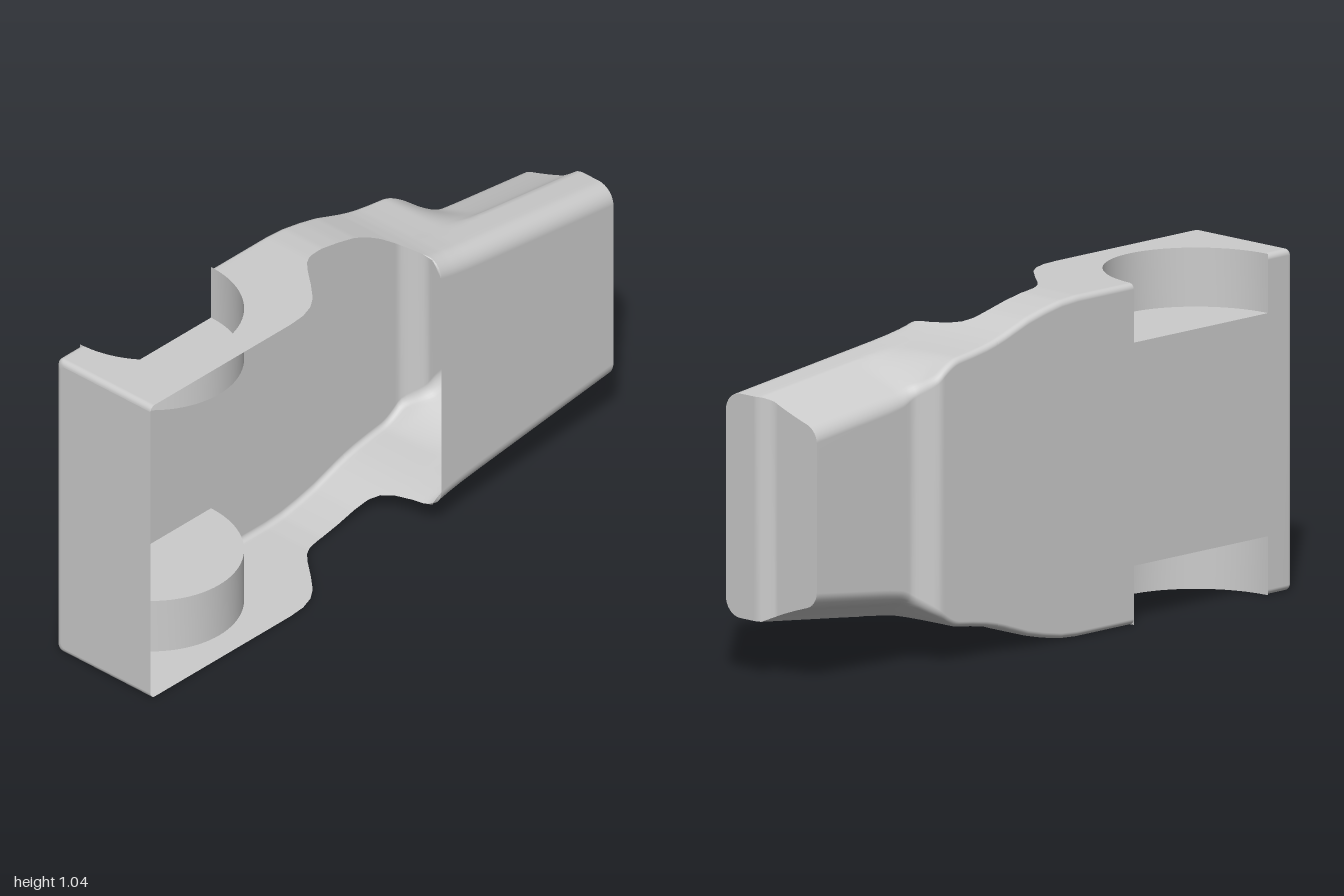
import * as THREE from 'three';

const MID = 0.522, FLOOR = -0.2, ROOF = 0.2;
const WELL = { x: -0.61, rx: 0.285, rz: 0.3, inner: 0.34 };
const smooth = (a, b, v) => THREE.MathUtils.smoothstep(v, a, b);

// Piecewise-linear lookup in a short list of [x, value] pairs
function lookup(table, x) {
  if (x <= table[0][0]) return table[0][1];
  for (let i = 1; i < table.length; i++) {
    const [x0, v0] = table[i - 1], [x1, v1] = table[i];
    if (x <= x1) return v0 + (v1 - v0) * (x - x0) / (x1 - x0);
  }
  return table[table.length - 1][1];
}

// Half width of the body along its length
const WIDTH = [[-0.09, 0.52], [-0.02, 0.515], [0.05, 0.502], [0.12, 0.485], [0.18, 0.464], [0.22, 0.45],
  [0.26, 0.438], [0.3, 0.429], [0.36, 0.419], [0.42, 0.411], [1, 0.342]];
// Upper edge of the side walls, dipping at the door
const EDGE = [[-0.39, 0.185], [-0.33, 0.18], [-0.28, 0.163], [-0.24, 0.135], [-0.19, 0.08], [-0.14, 0.02], [-0.11, -0.01],
  [-0.08, -0.026], [-0.03, -0.032], [0.12, -0.032], [0.17, -0.022], [0.2, 0], [0.22, 0.04], [0.235, 0.1], [0.245, 0.17], [0.25, 0.2]];

const floorZ = x => FLOOR + 0.055 * smooth(0.5, 0.58, x);

// Half cross-section from the floor centre up the wall; closed sections continue to the roof centre
function halfSection(x, closed = false, inset = 0) {
  const z0 = floorZ(x) + inset, w = lookup(WIDTH, x) - inset;
  const r = 0.018 + 0.02 * smooth(0.4, 0.7, x), R = 0.06 * smooth(0, 0.2, x);
  const top = closed ? ROOF : lookup(EDGE, x);
  const pts = [];
  const tuck = 0.075 * smooth(0.42, 0.62, x);
  const add = (s, z) => {
    const t = THREE.MathUtils.clamp((0.055 - z) / 0.2, 0, 1);
    const back = 0.035 * smooth(0.03, 0.068, z) - 0.035; // lower nose is set back
    const px = x > 0.25 ? x + back * (x - 0.25) / 0.75 : x;
    pts.push([px, s - tuck * Math.pow(t, 0.8) * Math.min(1, s / 0.2), z]);
  };
  add(0, z0);
  for (let i = 0; i <= 6; i++) {
    const a = i / 6 * Math.PI / 2;
    add(w - r + r * Math.sin(a), z0 + r - r * Math.cos(a));
  }
  const wallTop = Math.min(top, ROOF - R);
  for (let i = 1; i <= 18; i++) add(w, z0 + r + (wallTop - z0 - r) * i / 18);
  if (R > 0 && top > ROOF - R) {
    const end = Math.asin(Math.min(1, (top - ROOF + R) / R));
    for (let i = 1; i <= 8; i++) add(w - R + R * Math.cos(end * i / 8), ROOF - R + R * Math.sin(end * i / 8));
  } else {
    for (let i = 1; i <= 8; i++) pts.push([...pts[pts.length - 1]]);
  }
  if (closed) add(0, ROOF);
  return pts;
}

// Mirror a half section [x, side, z] into one running from one side to the other
const mirrored = half => [...half.slice(1).reverse().map(([x, s, z]) => [x, -s, z]), ...half];

// Surface through rows of [x, side, z] points
function loft(rows) {
  const n = rows[0].length, pos = [], index = [];
  for (const row of rows) for (const [x, s, z] of row) pos.push(x, MID + s, z);
  for (let i = 0; i < rows.length - 1; i++) {
    for (let j = 0; j < n - 1; j++) {
      const a = i * n + j, b = a + n;
      index.push(a, a + 1, b, b, a + 1, b + 1);
    }
  }
  const g = new THREE.BufferGeometry();
  g.setAttribute('position', new THREE.Float32BufferAttribute(pos, 3));
  g.setIndex(index);
  g.computeVertexNormals();
  return g;
}

const range = (a, b, n) => Array.from({ length: n + 1 }, (_, i) => a + (b - a) * i / n);

export function createModel() {
  const group = new THREE.Group();
  const material = new THREE.MeshStandardMaterial({ color: 0xcccccc, side: THREE.DoubleSide });
  const add = (name, geometry) => {
    const mesh = new THREE.Mesh(geometry, material);
    mesh.name = name;
    group.add(mesh);
  };
  const x0 = WELL.x - WELL.rx, x1 = WELL.x + WELL.rx;

  // Tail: rounded end and its flat closing panel
  const r = 0.018;
  const tail = range(0, Math.PI / 2, 6).map(a =>
    mirrored(halfSection(-1 + r * (1 - Math.cos(a)), false, r * (1 - Math.sin(a)))));
  const straight = range(-1 + r, x0, 2).slice(1).map(x => mirrored(halfSection(x)));
  add('tailShell', loft([...tail, ...straight]));
  const tailHalf = halfSection(-1, false, r);
  add('tailPanel', loft([tailHalf, tailHalf.map(([x, s, z]) => [x, -s, z])]));

  // Floor between the wheel wells
  add('midFloor', loft([x0, x1].map(x => [[x, -WELL.inner, FLOOR], [x, WELL.inner, FLOOR]])));

  // Wheel wells and the arched walls around them
  const arch = range(Math.PI, 0, 48).map(a => [WELL.x + WELL.rx * Math.cos(a), FLOOR + WELL.rz * Math.sin(a)]);
  for (const side of [-1, 1]) {
    const name = side > 0 ? 'upper' : 'lower';
    add(name + 'ArchWall', loft(arch.map(([x, z]) => [[x, side * 0.52, z], [x, side * 0.52, lookup(EDGE, x)]])));
    add(name + 'WheelWell', loft(arch.map(([x, z]) => [[x, side * 0.52, z], [x, side * WELL.inner, z]])));
    add(name + 'WellCap', loft(arch.map(([x, z]) => [[x, side * WELL.inner, FLOOR], [x, side * WELL.inner, z]])));
  }

  // Open cabin shell with the door dip
  const cabinX = [x1, ...range(-0.32, 0.2, 40), ...range(0.2, 0.25, 10).slice(1)];
  add('cabinShell', loft(cabinX.map(x => mirrored(halfSection(x)))));

  // Closed bonnet and its nose panel
  add('bonnet', loft(range(0.25, 1, 60).map(x => mirrored(halfSection(x, true)))));
  const nose = halfSection(1, true);
  add('nosePanel', loft([nose, nose.map(([x, s, z]) => [x, -s, z])]));

  return group;
}
